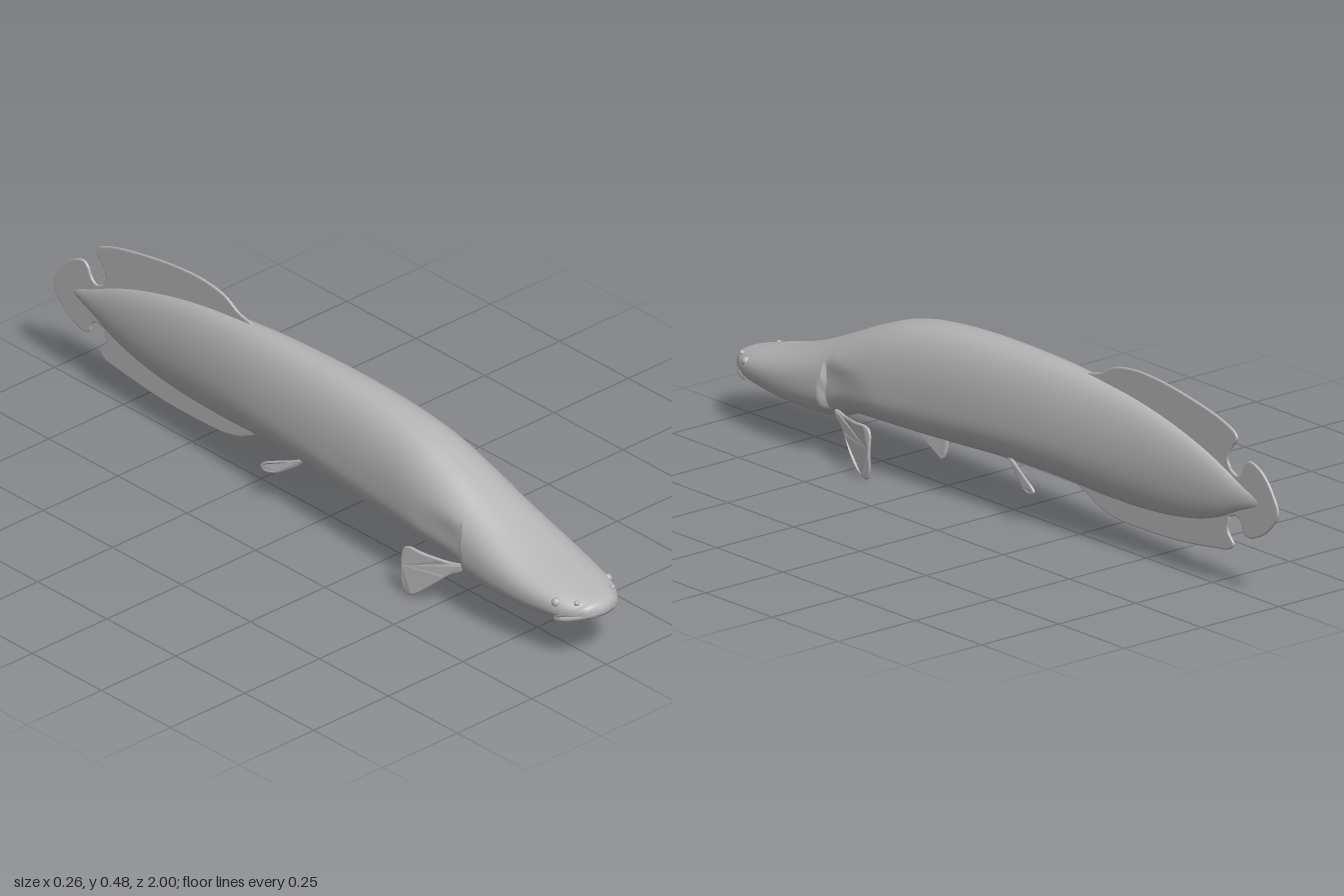
import * as THREE from 'three';

const skin = new THREE.MeshStandardMaterial({ color: 0xb4b4b4 });
skin.name = 'greySkin';

// Body stations: z, top y, bottom y, widest y, half width
const stations = [
  [1.0, 0.163, 0.148, 0.155, 0.012], [0.99, 0.178, 0.137, 0.155, 0.046],
  [0.97, 0.186, 0.128, 0.155, 0.066], [0.94, 0.194, 0.119, 0.155, 0.086],
  [0.9, 0.205, 0.111, 0.157, 0.1], [0.8, 0.231, 0.098, 0.165, 0.116],
  [0.7, 0.267, 0.094, 0.175, 0.122], [0.6, 0.311, 0.099, 0.185, 0.12],
  [0.56, 0.329, 0.116, 0.195, 0.119], [0.5, 0.356, 0.125, 0.205, 0.116],
  [0.4, 0.393, 0.128, 0.22, 0.112], [0.3, 0.415, 0.129, 0.23, 0.106],
  [0.15, 0.43, 0.134, 0.24, 0.099], [0, 0.435, 0.14, 0.25, 0.092],
  [-0.2, 0.432, 0.138, 0.26, 0.08], [-0.35, 0.42, 0.13, 0.265, 0.067],
  [-0.5, 0.4, 0.13, 0.265, 0.053], [-0.65, 0.365, 0.145, 0.26, 0.039],
  [-0.77, 0.325, 0.175, 0.255, 0.026], [-0.86, 0.285, 0.215, 0.25, 0.014],
  [-0.94, 0.255, 0.245, 0.25, 0.002],
];

// Smooth interpolation of one station column at z
function sample(z, col) {
  let i = 0;
  while (i < stations.length - 2 && z < stations[i + 1][0]) i++;
  const slope = (k) => {
    const a = stations[Math.max(k - 1, 0)], b = stations[Math.min(k + 1, stations.length - 1)];
    return (b[col] - a[col]) / (b[0] - a[0]);
  };
  const a = stations[i], b = stations[i + 1], h = b[0] - a[0], t = (z - a[0]) / h;
  const t2 = t * t, t3 = t2 * t;
  return (2 * t3 - 3 * t2 + 1) * a[col] + (t3 - 2 * t2 + t) * h * slope(i)
    + (3 * t2 - 2 * t3) * b[col] + (t3 - t2) * h * slope(i + 1);
}

// Lofted body; the flank is pinched just behind the gill cover
function bodyGeometry() {
  const rows = 140, sides = 48, pos = [], index = [];
  const zs = Array.from({ length: rows }, (_, i) => 1 - 1.94 * Math.pow(i / (rows - 1), 1.4));
  zs.push(0.594, 0.588, 0.584);
  zs.sort((a, b) => b - a);
  for (const z of zs) {
    const [top, bottom, mid, w] = [1, 2, 3, 4].map((c) => sample(z, c));
    const e = 0.84 + 0.16 * THREE.MathUtils.smoothstep(-z, -0.4, 0.6);
    for (let j = 0; j < sides; j++) {
      const a = (j / sides) * Math.PI * 2, c = Math.cos(a), s = Math.sin(a);
      const y = mid + Math.sign(s) * Math.pow(Math.abs(s), e) * (s > 0 ? top - mid : mid - bottom);
      const gillEdge = 0.6 - 0.1 * Math.max(0, y - 0.13);
      const pinch = z < gillEdge ? THREE.MathUtils.smoothstep(z, 0.4, 0.575) : 0;
      const low = 1 - THREE.MathUtils.smoothstep(y, 0.22, 0.275);
      pos.push(Math.sign(c) * Math.pow(Math.abs(c), e) * w * (1 - 0.12 * pinch * low), y, z);
    }
  }
  for (let i = 0; i < zs.length - 1; i++) {
    for (let j = 0; j < sides; j++) {
      const k = (j + 1) % sides, a = i * sides + j, b = i * sides + k;
      index.push(a, a + sides, b, b, a + sides, b + sides);
    }
  }
  // End caps
  const last = (zs.length - 1) * sides;
  for (let j = 1; j < sides - 1; j++) {
    index.push(0, j, j + 1, last, last + j + 1, last + j);
  }
  const g = new THREE.BufferGeometry();
  g.setAttribute('position', new THREE.Float32BufferAttribute(pos, 3));
  g.setIndex(index);
  g.computeVertexNormals();
  return g;
}

// Thin plate from a closed smooth (z, y) outline, bent sideways by offset(z, y)
function finGeometry(points, samples, offset) {
  const curve = new THREE.CatmullRomCurve3(
    points.map(([z, y]) => new THREE.Vector3(z, y, 0)), true, 'centripetal');
  const outline = curve.getPoints(samples).slice(0, -1).map((p) => new THREE.Vector2(p.x, p.y));
  const g = new THREE.ExtrudeGeometry(new THREE.Shape(outline), {
    depth: 0.002, bevelEnabled: true, bevelThickness: 0.003, bevelSize: 0.004, bevelOffset: -0.004, bevelSegments: 2,
  });
  g.translate(0, 0, -0.001);
  g.rotateY(-Math.PI / 2);
  if (offset) {
    const p = g.attributes.position;
    for (let i = 0; i < p.count; i++) p.setX(i, p.getX(i) + offset(p.getZ(i), p.getY(i)));
    g.computeVertexNormals();
  }
  return g;
}

export function createModel() {
  const model = new THREE.Group();
  model.name = 'fish';
  const add = (name, geometry) => {
    const m = new THREE.Mesh(geometry, skin);
    m.name = name;
    model.add(m);
    return m;
  };

  add('body', bodyGeometry());

  // Long dorsal and anal fins set far back
  add('dorsalFin', finGeometry([
    [-0.28, 0.425], [-0.33, 0.44], [-0.38, 0.467], [-0.46, 0.48], [-0.55, 0.477], [-0.67, 0.46],
    [-0.79, 0.433], [-0.84, 0.41], [-0.845, 0.395], [-0.825, 0.37], [-0.81, 0.335], [-0.82, 0.312],
    [-0.8, 0.27], [-0.6, 0.33], [-0.4, 0.39],
  ], 110));
  add('analFin', finGeometry([
    [-0.22, 0.14], [-0.27, 0.117], [-0.32, 0.092], [-0.38, 0.077], [-0.5, 0.073], [-0.62, 0.077],
    [-0.77, 0.095], [-0.815, 0.104], [-0.832, 0.12], [-0.81, 0.152], [-0.815, 0.187],
    [-0.8, 0.24], [-0.6, 0.18], [-0.4, 0.15],
  ], 110));

  // Tail: a short stalk and a rounded fan
  add('tailFin', finGeometry([
    [-0.74, 0.325], [-0.81, 0.318], [-0.845, 0.303], [-0.863, 0.315], [-0.875, 0.34], [-0.892, 0.352],
    [-0.94, 0.334], [-0.985, 0.28], [-1.0, 0.24], [-0.98, 0.205], [-0.94, 0.17], [-0.89, 0.151],
    [-0.87, 0.158], [-0.862, 0.182], [-0.845, 0.196], [-0.81, 0.187], [-0.74, 0.18],
  ], 110));

  for (const side of [1, -1]) {
    const prefix = side > 0 ? 'left' : 'right';
    // Pectoral fin: narrow root, broad bent blade
    add(prefix + 'PectoralFin', finGeometry([
      [0.575, 0.135], [0.53, 0.132], [0.47, 0.137], [0.42, 0.14], [0.4, 0.128], [0.396, 0.08],
      [0.399, 0.025], [0.412, 0.002], [0.44, 0.012], [0.49, 0.055], [0.54, 0.1], [0.57, 0.118],
    ], 70, (z, y) => side * (0.085 + 0.037 * THREE.MathUtils.smoothstep(-z, -0.57, -0.43)
      + 0.006 * Math.sin(Math.PI * THREE.MathUtils.clamp(y / 0.14, 0, 1)))));

    // Pelvic fin: small leaf
    add(prefix + 'PelvicFin', finGeometry([
      [-0.035, 0.165], [-0.08, 0.148], [-0.12, 0.135], [-0.158, 0.118], [-0.168, 0.105],
      [-0.155, 0.095], [-0.12, 0.101], [-0.09, 0.118], [-0.06, 0.138],
    ], 50, (z) => side * (0.05 + 0.028 * THREE.MathUtils.smoothstep(-z, 0.03, 0.16))));

    // Eye and nostril bump
    const eye = add(prefix + 'Eye', new THREE.SphereGeometry(0.012, 20, 14));
    eye.position.set(side * 0.086, 0.175, 0.912);
    const nostril = add(prefix + 'Nostril', new THREE.SphereGeometry(0.007, 14, 10));
    nostril.position.set(side * 0.06, 0.18, 0.958);
  }

  // Lips wrap round the snout, drooping at the corners
  const lip = (name, half, r) => {
    const mirrored = half.slice(1).reverse().map(([x, y, z]) => [-x, y, z]);
    const path = new THREE.CatmullRomCurve3(
      [...mirrored, ...half].map((p) => new THREE.Vector3(...p)));
    add(name, new THREE.TubeGeometry(path, 60, r, 10));
  };
  lip('upperLip', [[0, 0.174, 0.983], [0.04, 0.172, 0.977], [0.066, 0.163, 0.957], [0.083, 0.147, 0.93], [0.086, 0.136, 0.91]], 0.007);
  lip('lowerLip', [[0, 0.154, 0.99], [0.04, 0.151, 0.983], [0.064, 0.143, 0.96], [0.08, 0.134, 0.932], [0.084, 0.13, 0.91]], 0.009);

  return model;
}
